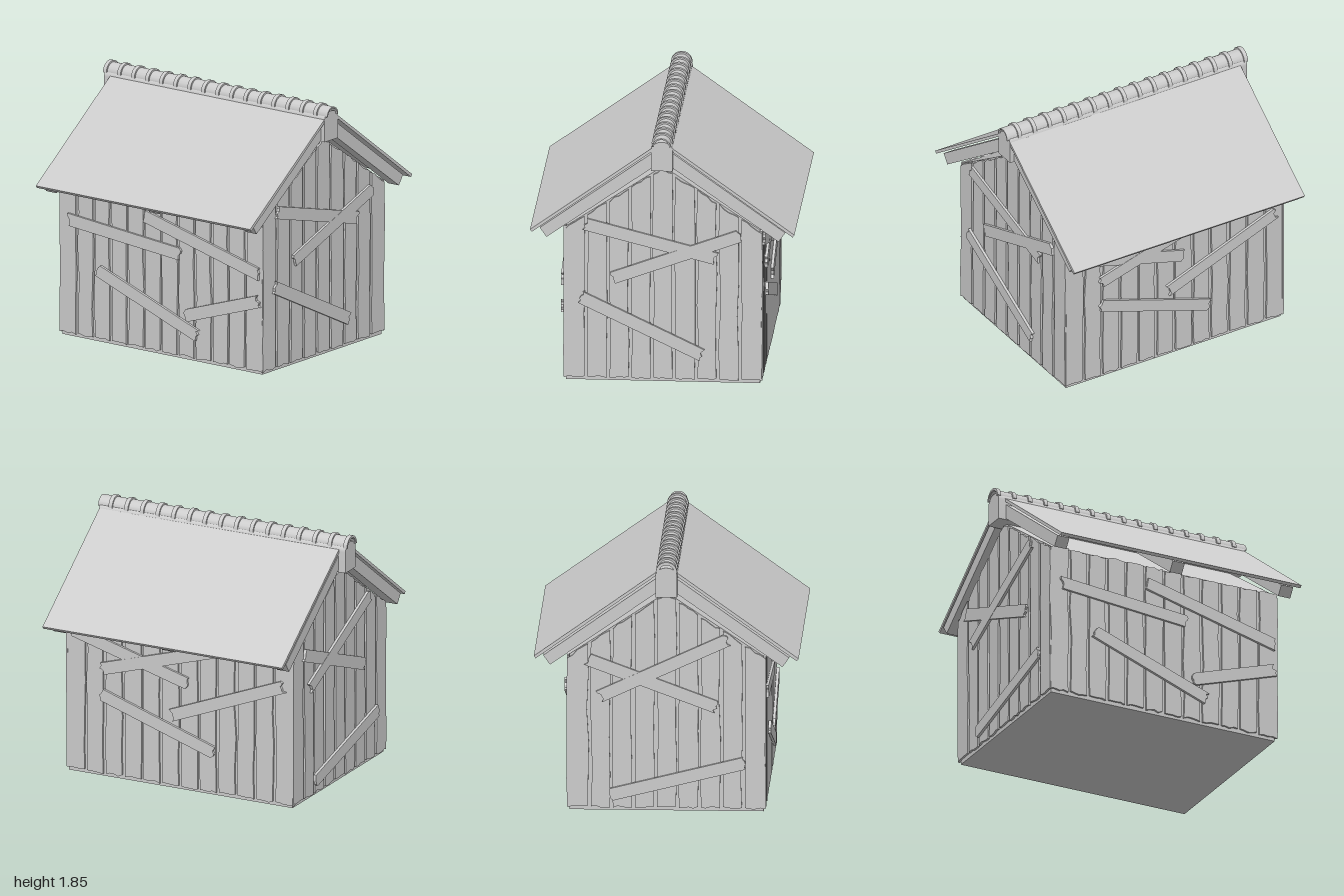
import * as THREE from 'three';
import { toCreasedNormals } from 'three/addons/utils/BufferGeometryUtils.js';

const mat = new THREE.MeshStandardMaterial({ color: 0xcccccc, side: THREE.DoubleSide });

// small seeded generator for hand-cut wood edges, returns -1..1
let seed = 7;
function wobble() {
  seed = (seed * 16807) % 2147483647;
  return (seed / 2147483647) * 2 - 1;
}

function add(parent, geometry, name, x = 0, y = 0, z = 0) {
  const mesh = new THREE.Mesh(geometry, mat);
  mesh.name = name;
  mesh.position.set(x, y, z);
  parent.add(mesh);
  return mesh;
}

function extrude(points, depth) {
  const shape = new THREE.Shape(points.map(([x, y]) => new THREE.Vector2(x, y)));
  return new THREE.ExtrudeGeometry(shape, { depth, bevelEnabled: false });
}

// upright wall plank with uneven sides and ragged ends
function wallPlank(x0, x1, topAt) {
  const base = 0.025, pts = [];
  const steps = 5, ends = 4;
  for (let i = 0; i <= ends; i++) {
    const x = x0 + ((x1 - x0) * i) / ends;
    pts.push([x, base + wobble() * 0.008]);
  }
  for (let i = 1; i < steps; i++) pts.push([x1 + wobble() * 0.008, (topAt(x1) * i) / steps]);
  for (let i = ends; i >= 0; i--) {
    const x = x0 + ((x1 - x0) * i) / ends;
    pts.push([x, topAt(x) - 0.012 + wobble() * 0.01]);
  }
  for (let i = steps - 1; i > 0; i--) pts.push([x0 + wobble() * 0.008, (topAt(x0) * i) / steps]);
  return extrude(pts, 0.015);
}

// board nailed across the wall, with splintered ends
function crossBoard(length, width) {
  const h = length / 2, n = 5, pts = [];
  for (let i = 0; i <= n; i++) pts.push([h + wobble() * 0.014, width * (i / n - 0.5)]);
  for (let i = n; i >= 0; i--) pts.push([-h + wobble() * 0.014, width * (i / n - 0.5)]);
  return extrude(pts, 0.02);
}

// one wall: local x runs to the right as seen from outside, z points outward
function makeWall(name, halfWidth, count, topAt, boards) {
  const wall = new THREE.Group();
  wall.name = name;
  const pitch = (2 * halfWidth) / count, gap = 0.011;
  for (let i = 0; i < count; i++) {
    const x = -halfWidth + i * pitch;
    add(wall, wallPlank(x + (i ? gap : 0), x + pitch - (i < count - 1 ? gap : 0), topAt), 'wallPlank');
  }
  boards.forEach(([xa, ya, xb, yb], i) => {
    const length = Math.hypot(xb - xa, yb - ya);
    const board = add(wall, crossBoard(length, 0.09), 'crossBoard',
      (xa + xb) / 2, (ya + yb) / 2, 0.012 + i * 0.002);
    board.rotation.z = Math.atan2(yb - ya, xb - xa);
  });
  return wall;
}

function halfRing(outer, inner, depth) {
  const s = new THREE.Shape();
  s.absarc(0, 0, outer, 0, Math.PI, false);
  s.absarc(0, 0, inner, Math.PI, 0, true);
  s.closePath();
  const g = new THREE.ExtrudeGeometry(s, { depth, bevelEnabled: false, curveSegments: 14 });
  return toCreasedNormals(g, 0.6);
}

export function createModel() {
  const model = new THREE.Group();
  model.name = 'boardedShed';
  seed = 7;

  // solid core behind the planks
  const core = [[-0.69, 0], [0.69, 0], [0.69, 1.14], [0, 1.6], [-0.69, 1.14]];
  add(model, extrude(core, 1.79), 'wallCore', 0, 0, -0.89);

  // planked walls with boards: [x start, y start, x end, y end] on each wall
  const gable = (x) => 1.6 - Math.abs(x) * 0.665;
  const eave = () => 1.15;

  const front = makeWall('frontWall', 0.703, 9, gable, [
    [-0.55, 1.165, 0.37, 0.93], [-0.355, 0.77, 0.545, 1.1], [-0.58, 0.62, 0.275, 0.21]]);
  front.position.z = 0.902;

  const back = makeWall('backWall', 0.703, 9, gable, [
    [-0.56, 1.11, 0.35, 0.77], [-0.47, 0.84, 0.43, 1.26], [-0.39, 0.12, 0.56, 0.36]]);
  back.position.z = -0.892;
  back.rotation.y = Math.PI;

  const left = makeWall('leftWall', 0.905, 12, eave, [
    [-0.84, 1.06, 0.06, 0.81], [-0.62, 0.81, 0.295, 1.085],
    [-0.055, 0.555, 0.83, 0.905], [-0.625, 0.62, 0.28, 0.325]]);
  left.position.set(0.691, 0, 0.005);
  left.rotation.y = Math.PI / 2;

  const right = makeWall('rightWall', 0.905, 12, eave, [
    [-0.82, 0.86, 0.18, 0.77], [-0.14, 1.0, 0.88, 0.74],
    [0.235, 0.33, 0.88, 0.54], [-0.555, 0.53, 0.33, 0.2]]);
  right.position.set(-0.691, 0, 0.005);
  right.rotation.y = -Math.PI / 2;
  model.add(front, back, left, right);

  // roof panels and rafters, mirrored about the ridge
  for (const s of [1, -1]) {
    const side = (pts) => pts.map(([x, y]) => [s * x, y]);
    const panel = side([[0.03, 1.765], [0.03, 1.79], [0.94, 1.135], [0.927, 1.117]]);
    add(model, extrude(panel, 1.92), 'roofPanel', 0, 0, -0.937);
    const rafter = side([[0, 1.655], [0, 1.765], [0.873, 1.14], [0.825, 1.072]]);
    for (const z of [0.858, -0.01, -0.933]) add(model, extrude(rafter, 0.095), 'rafter', 0, 0, z);
  }

  // ridge beam with a rounded top
  const beam = new THREE.Shape();
  beam.moveTo(-0.08, 1.59);
  beam.lineTo(0.075, 1.59);
  beam.lineTo(0.075, 1.745);
  beam.absellipse(-0.0025, 1.745, 0.0775, 0.06, 0, Math.PI, false);
  beam.closePath();
  const beamGeo = new THREE.ExtrudeGeometry(beam, { depth: 1.975, bevelEnabled: false, curveSegments: 10 });
  add(model, toCreasedNormals(beamGeo, 0.6), 'ridgeBeam', 0, 0, -0.99);

  // half-round ridge cap with raised collars
  add(model, halfRing(0.064, 0.054, 1.995), 'ridgeCap', -0.004, 1.773, -0.995);
  const collar = halfRing(0.076, 0.06, 0.03);
  for (let i = 0; i < 16; i++) {
    add(model, collar, 'ridgeCollar', -0.004, 1.773, -1 + i * 0.1255);
  }
  return model;
}
